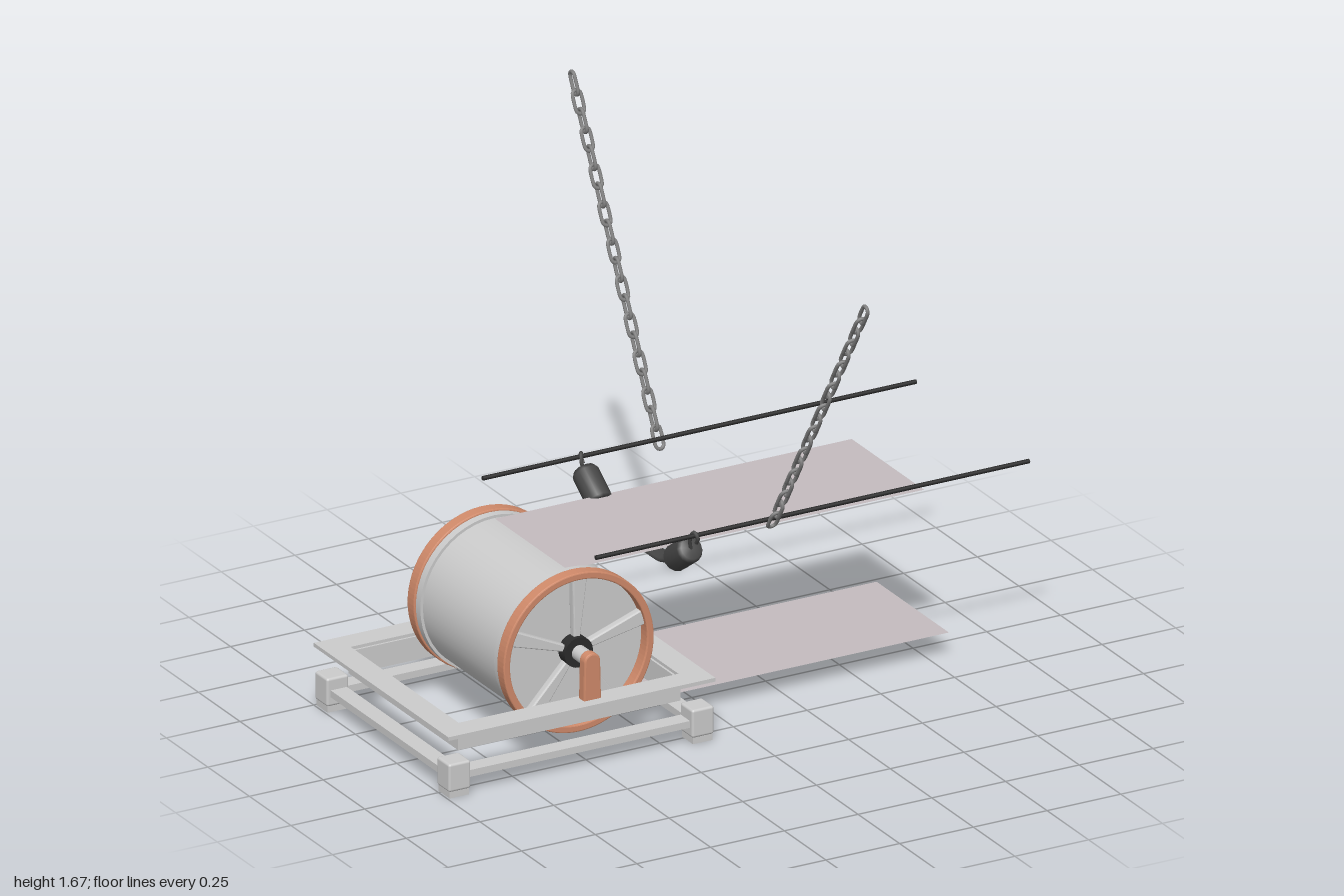
import * as THREE from 'three';
import { RoundedBoxGeometry } from 'three/addons/geometries/RoundedBoxGeometry.js';

const mat = (color, extra = {}) => new THREE.MeshStandardMaterial({ color, ...extra });
const V = (x, y, z) => new THREE.Vector3(x, y, z);

export function createModel() {
  const root = new THREE.Group();
  const grey = mat(0xcccccc);
  const copper = mat(0xd08a6a);
  const dark = mat(0x454545);
  const black = mat(0x2b2b2b);
  const steel = mat(0x808080);
  const beltMat = mat(0xc4bcbf, { side: THREE.DoubleSide });

  const add = (name, geo, material, parent = root, x = 0, y = 0, z = 0) => {
    const m = new THREE.Mesh(geo, material);
    m.name = name;
    m.position.set(x, y, z);
    parent.add(m);
    return m;
  };
  // Rectangular ring lying flat: outer bounds, band width, bottom and top
  const flatRing = (x0, x1, z0, z1, w, y0, y1) => {
    const rect = (Type, i) => new Type([[x0 + i, -z1 + i], [x1 - i, -z1 + i], [x1 - i, -z0 - i], [x0 + i, -z0 - i]]
      .map(p => new THREE.Vector2(...p)));
    const s = rect(THREE.Shape, 0);
    s.holes.push(rect(THREE.Path, w));
    return new THREE.ExtrudeGeometry(s, { depth: y1 - y0, bevelEnabled: false }).rotateX(-Math.PI / 2).translate(0, y0, 0);
  };

  // Base frame: angle-section ring, lower rails and feet
  const base = new THREE.Group();
  base.name = 'baseFrame';
  root.add(base);
  add('frameFlange', flatRing(-1, -0.095, -0.5, 0.31, 0.08, 0.188, 0.2), grey, base);
  add('frameWall', flatRing(-0.925, -0.17, -0.425, 0.235, 0.012, 0.115, 0.19), grey, base);
  add('lowerRails', flatRing(-0.985, -0.11, -0.485, 0.295, 0.055, 0.05, 0.072), grey, base);
  for (const x of [-0.96, -0.135]) for (const z of [-0.462, 0.272]) {
    add('foot', new RoundedBoxGeometry(0.075, 0.09, 0.075, 2, 0.008), grey, base, x, 0.065, z);
    add('footPad', new THREE.BoxGeometry(0.066, 0.03, 0.066), grey, base, x, 0.015, z);
  }

  // Drum, built around its own centre with the axle along z
  const drum = new THREE.Group();
  drum.name = 'drum';
  drum.position.set(-0.49, 0.32, -0.1);
  root.add(drum);
  const cyl = (r, len, seg = 48) => new THREE.CylinderGeometry(r, r, len, seg).rotateX(Math.PI / 2);
  add('drumBarrel', cyl(0.24, 0.5), grey, drum);
  add('axle', cyl(0.02, 0.74, 20), grey, drum);

  const rimShape = new THREE.Shape().absarc(0, 0, 0.255, 0, Math.PI * 2);
  rimShape.holes.push(new THREE.Path().absarc(0, 0, 0.232, 0, Math.PI * 2, true));
  const rimGeo = new THREE.ExtrudeGeometry(rimShape, {
    depth: 0.034, bevelThickness: 0.004, bevelSize: 0.004, bevelOffset: -0.004, bevelSegments: 2, curveSegments: 48,
  });
  // Spoke: narrow at the hub, broad at the rim
  const spokeShape = new THREE.Shape([[-0.01, 0.03], [0.01, 0.03], [0.025, 0.236], [-0.025, 0.236]]
    .map(p => new THREE.Vector2(...p)));
  const spokeGeo = new THREE.ExtrudeGeometry(spokeShape, {
    depth: 0.012, bevelThickness: 0.008, bevelSize: 0.004, bevelOffset: -0.004, bevelSegments: 3,
  });

  for (const side of [1, -1]) {
    const wheel = new THREE.Group();
    wheel.name = side > 0 ? 'frontWheel' : 'backWheel';
    if (side < 0) wheel.rotation.y = Math.PI;
    drum.add(wheel);
    add('rim', rimGeo, copper, wheel, 0, 0, 0.253);
    add('barrelFlange', cyl(0.249, 0.03), grey, wheel, 0, 0, 0.237);
    for (let i = 0; i < 5; i++) {
      add('spoke', spokeGeo, grey, wheel, 0, 0, 0.258).rotation.z = -0.05 + i * Math.PI * 2 / 5;
    }
    add('hub', cyl(0.048, 0.04, 24), black, wheel, 0, 0, 0.27);
    add('axleCollar', cyl(0.024, 0.05, 20), grey, wheel, 0, 0, 0.315);

    // Axle post standing on the frame
    const post = new THREE.Shape();
    post.moveTo(-0.03, -0.13);
    post.lineTo(0.03, -0.13);
    post.lineTo(0.027, 0);
    post.absarc(0, 0, 0.027, 0, Math.PI);
    post.closePath();
    add('axlePost', new THREE.ExtrudeGeometry(post, {
      depth: 0.024, bevelThickness: 0.005, bevelSize: 0.005, bevelOffset: -0.005, bevelSegments: 2, curveSegments: 12,
    }), copper, wheel, 0, 0, 0.345);
  }

  // Sheets running off the top and bottom of the drum
  const sheet = (name, x1, y, z0, z1) => add(name,
    new THREE.PlaneGeometry(x1 + 0.49, z1 - z0).rotateX(-Math.PI / 2), beltMat, root, (x1 - 0.49) / 2, y, (z0 + z1) / 2);
  sheet('upperSheet', 0.72, 0.561, -0.315, 0.12);
  sheet('lowerSheet', 0.81, 0.079, -0.325, 0.11);

  // Long side rods
  for (const z of [0.255, -0.425]) {
    add('sideRod', new THREE.CylinderGeometry(0.007, 0.007, 1.47, 10).rotateZ(Math.PI / 2), black, root, 0.265, 0.645, z);
  }

  // Sling: padded sleeves joined by a strap and hooked on the rods
  const sleeveProfile = [[0, -0.06], [0.035, -0.06], [0.042, -0.052], [0.042, 0.045], [0.034, 0.06], [0, 0.06]]
    .map(p => new THREE.Vector2(...p));
  const sleeveGeo = new THREE.LatheGeometry(sleeveProfile, 14);
  for (const [z, y, s] of [[0.187, 0.563, 1], [-0.362, 0.572, -1]]) {
    const sleeve = add('sleeve', sleeveGeo, dark, root, -0.134, y, z);
    sleeve.rotation.x = s * 0.96;
    const rodZ = s > 0 ? 0.255 : -0.425;
    const hook = new THREE.CatmullRomCurve3([V(-0.134, y + 0.03, z + s * 0.045), V(-0.142, 0.63, rodZ - s * 0.014),
      V(-0.136, 0.656, rodZ), V(-0.13, 0.64, rodZ + s * 0.012), V(-0.128, 0.62, rodZ)]);
    add('hook', new THREE.TubeGeometry(hook, 20, 0.006, 8), dark);
  }
  const strapPath = new THREE.CatmullRomCurve3([V(0, 0.533, 0.145), V(0, 0.51, 0.09), V(0, 0.506, 0),
    V(0, 0.512, -0.2), V(0, 0.516, -0.28), V(0, 0.54, -0.325)]);
  const strapGeo = new THREE.TubeGeometry(strapPath, 32, 0.01, 10);
  strapGeo.scale(3, 1, 1);
  add('strap', strapGeo, dark, root, -0.134, 0, 0);

  // Chains of interlocking links
  const linkPts = [];
  for (const s of [1, -1]) for (let i = 0; i <= 6; i++) {
    const a = i / 6 * Math.PI;
    linkPts.push(V(s * 0.014 * Math.cos(a), s * (0.022 + 0.014 * Math.sin(a)), 0));
  }
  const linkGeo = new THREE.TubeGeometry(new THREE.CatmullRomCurve3(linkPts, true), 28, 0.0058, 8, true);
  const chain = (name, from, to, count) => {
    const g = new THREE.Group();
    g.name = name;
    const dir = to.clone().sub(from).normalize();
    const align = new THREE.Quaternion().setFromUnitVectors(V(0, 1, 0), dir);
    const a = from.clone().addScaledVector(dir, 0.04), b = to.clone().addScaledVector(dir, -0.04);
    for (let i = 0; i < count; i++) {
      const link = add('link', linkGeo, steel, g);
      link.position.lerpVectors(a, b, i / (count - 1));
      link.quaternion.copy(align);
      link.rotateY((i % 2) * Math.PI / 2);
    }
    root.add(g);
  };
  chain('frontChain', V(0.132, 0.61, 0.24), V(0.092, 1.57, 0.89), 20);
  chain('backChain', V(0.132, 0.61, -0.42), V(0.092, 1.665, -0.89), 20);

  return root;
}
